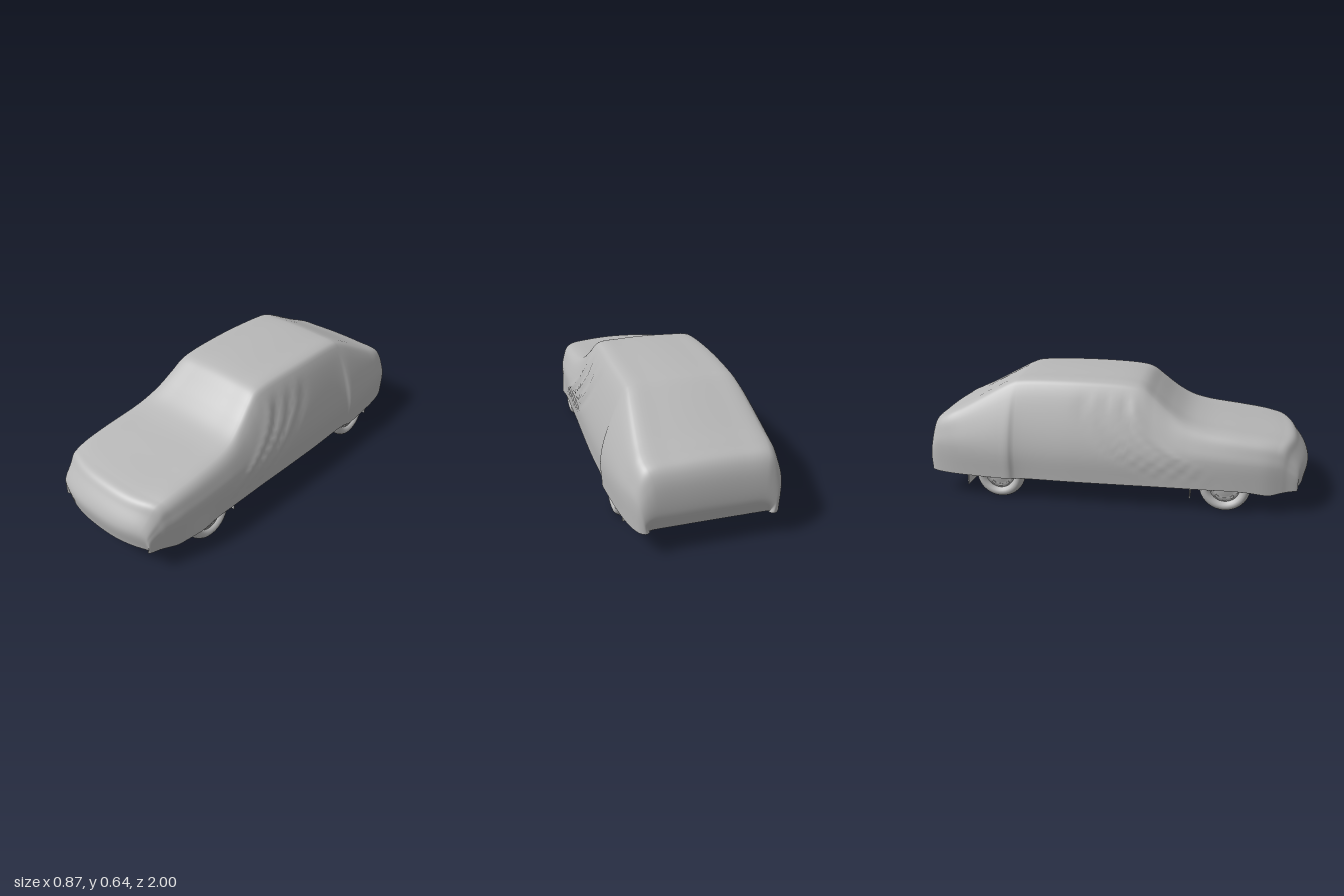
import * as THREE from 'three';

const grey = new THREE.MeshStandardMaterial({ color: 0xb8b8b8, side: THREE.DoubleSide });
grey.name = 'plain grey';

const HEM = 0.122;
// Cover stations, rear to front: z, top height, shoulder half-width, flank half-width
const STATIONS = [
  [-0.968, 0.13, 0.27, 0.28], [-0.984, 0.22, 0.272, 0.3], [-0.97, 0.36, 0.285, 0.325],
  [-0.94, 0.414, 0.303, 0.342], [-0.88, 0.445, 0.316, 0.36], [-0.8, 0.482, 0.312, 0.374],
  [-0.59, 0.594, 0.288, 0.395], [-0.535, 0.62, 0.28, 0.397], [-0.5, 0.63, 0.278, 0.386],
  [-0.2, 0.64, 0.282, 0.388], [0.09, 0.628, 0.276, 0.386], [0.15, 0.612, 0.277, 0.385],
  [0.21, 0.565, 0.288, 0.384], [0.29, 0.5, 0.308, 0.384], [0.37, 0.452, 0.328, 0.384],
  [0.46, 0.425, 0.338, 0.384], [0.65, 0.399, 0.342, 0.378], [0.86, 0.371, 0.332, 0.356],
  [0.92, 0.356, 0.325, 0.344], [0.95, 0.32, 0.318, 0.334], [1.0, 0.235, 0.305, 0.316],
  [0.985, 0.13, 0.29, 0.3],
];

// Cross-section from left hem over the top to right hem
function section([z, T, wT, wM]) {
  const h = T - HEM;
  const shoulder = T - Math.min(0.038, h * 0.2);
  const mid = HEM + Math.min(0.15, h * 0.5);
  const half = [
    [wM - 0.004, HEM],
    [wM, mid],
    [wT + (wM - wT) * 0.64, (mid + shoulder) / 2],
    [wT, shoulder],
    [wT * 0.9, T - Math.min(0.013, h * 0.07)],
    [wT * 0.5, T - Math.min(0.004, h * 0.03)],
  ];
  const right = half.map(([x, y]) => [-x, y]).reverse();
  return [...half, [0, T], ...right].map(([x, y]) => new THREE.Vector3(x, y, z));
}

const ss = THREE.MathUtils.smoothstep;
const bell = (v, centre, width) => Math.exp(-(((v - centre) / width) ** 2));
const noseBow = (x) => 0.075 * (Math.abs(x) / 0.33) ** 2.5;

// Soft curved folds in the cloth, a sagging front hem and a bowed nose
function drape(p) {
  const s = p.z - 0.1 - 2.9 * Math.max(0, 0.55 - p.y) ** 2;
  let fold = 0;
  for (const c of [0, -0.1, -0.2]) fold += bell(s, c, 0.032) - 0.7 * bell(s, c - 0.05, 0.035);
  const mask = ss(Math.abs(p.x), 0.27, 0.33) * ss(p.y, 0.14, 0.3) * (1 - ss(p.y, 0.48, 0.6));
  const low = 1 - ss(p.y, 0.12, 0.22);
  p.x += Math.sign(p.x) * 0.007 * fold * mask;
  if (p.x > 0.25) p.x += 0.014 * low * bell(p.z, 0.66, 0.08);
  p.y -= 0.02 * low * bell(p.z, 0.82, 0.12);
  p.z -= noseBow(p.x) * ss(p.z, 0.72, 0.98);
  return p;
}

function coverGeometry() {
  const rows = (STATIONS.length - 1) * 10;
  const cols = 60;
  const sections = STATIONS.map(section);
  const rails = sections[0].map((_, j) => new THREE.CatmullRomCurve3(sections.map((s) => s[j]), false, 'centripetal'));
  const pos = [];
  const index = [];
  for (let i = 0; i <= rows; i++) {
    const across = new THREE.CatmullRomCurve3(rails.map((r) => r.getPoint(i / rows)), false, 'centripetal');
    for (let j = 0; j <= cols; j++) pos.push(...drape(across.getPoint(j / cols)).toArray());
  }
  for (let i = 0; i < rows; i++) {
    for (let j = 0; j < cols; j++) {
      const a = i * (cols + 1) + j;
      const b = a + cols + 1;
      index.push(a, a + 1, b, a + 1, b + 1, b);
    }
  }
  const g = new THREE.BufferGeometry();
  g.setAttribute('position', new THREE.Float32BufferAttribute(pos, 3));
  g.setIndex(index);
  g.computeVertexNormals();
  return g;
}

// Lower lip: a small side profile swept across and bowed like the nose
function lipGeometry() {
  const profile = new THREE.Shape();
  profile.moveTo(0.98, 0.135);
  profile.quadraticCurveTo(0.93, 0.105, 0.84, 0.086);
  profile.lineTo(0.76, 0.112);
  profile.lineTo(0.82, 0.112);
  profile.lineTo(0.95, 0.14);
  const g = new THREE.ExtrudeGeometry(profile, { depth: 0.62, steps: 16, bevelEnabled: false, curveSegments: 6 });
  g.translate(0, 0, -0.31).rotateY(-Math.PI / 2);
  const p = g.attributes.position;
  for (let i = 0; i < p.count; i++) {
    const q = (p.getX(i) / 0.31) ** 2;
    p.setY(i, p.getY(i) + 0.25 * q * (0.135 - p.getY(i)));
    p.setZ(i, p.getZ(i) - noseBow(p.getX(i)));
  }
  g.computeVertexNormals();
  return g;
}

export function createModel() {
  const model = new THREE.Group();
  model.name = 'coveredCar';
  const car = new THREE.Group();
  car.name = 'car';
  car.rotation.y = 0.067;
  model.add(car);

  const add = (name, geo, x = 0, y = 0, z = 0, parent = car) => {
    const m = new THREE.Mesh(geo, grey);
    m.name = name;
    m.position.set(x, y, z);
    parent.add(m);
    return m;
  };
  const box = (name, w, h, d, x, y, z) => add(name, new THREE.BoxGeometry(w, h, d), x, y, z);
  const pipe = (name, pts, r) => {
    const curve = new THREE.CatmullRomCurve3(pts.map((p) => new THREE.Vector3(...p)), false, 'centripetal');
    return add(name, new THREE.TubeGeometry(curve, 24, r, 10));
  };

  add('cover', coverGeometry());
  add('noseLip', lipGeometry());

  // Wheels: rounded tyre, dished rim and slots round it
  const tyreGeo = new THREE.TorusGeometry(0.102, 0.028, 16, 40).rotateY(Math.PI / 2).scale(1.42, 1, 1);
  const rimProfile = [[0.08, -0.03], [0.076, 0.024], [0.06, 0.016], [0.046, 0.026], [0.001, 0.03]];
  const rimGeo = new THREE.LatheGeometry(rimProfile.map(([x, y]) => new THREE.Vector2(x, y)), 40).rotateZ(-Math.PI / 2);
  const slotGeo = new THREE.BoxGeometry(0.006, 0.01, 0.018);
  for (const side of [1, -1]) {
    for (const [end, z] of [['front', 0.577], ['rear', -0.593]]) {
      const wheel = new THREE.Group();
      wheel.name = end + 'Wheel';
      wheel.position.set(side * 0.324, 0.13, z);
      if (side < 0) wheel.rotation.y = Math.PI;
      car.add(wheel);
      add('tyre', tyreGeo, 0, 0, 0, wheel);
      add('rim', rimGeo, 0, 0, 0, wheel);
      for (let k = 0; k < 10; k++) {
        const a = (k / 10) * Math.PI * 2;
        add('rimSlot', slotGeo, 0.019, Math.cos(a) * 0.064, Math.sin(a) * 0.064, wheel).rotation.x = a;
      }
      box(end + 'MudFlap', 0.115, 0.09, 0.006, side * 0.294, 0.105, z - 0.175);
    }

    // Sills, end rails and pressed floor panels
    box('sill', 0.035, 0.03, 0.8, side * 0.35, 0.14, -0.01);
    box('frontRail', 0.035, 0.035, 0.46, side * 0.19, 0.142, 0.58);
    box('rearRail', 0.035, 0.035, 0.5, side * 0.19, 0.142, -0.64);
    box('floorPressing', 0.15, 0.012, 0.32, side * 0.2, 0.142, 0.18);
    box('floorPressing', 0.15, 0.012, 0.28, side * 0.2, 0.142, -0.2);

    // Suspension arms
    pipe('frontArm', [[side * 0.29, 0.125, 0.577], [side * 0.1, 0.125, 0.62]], 0.012);
    pipe('frontStrut', [[side * 0.28, 0.12, 0.57], [side * 0.2, 0.125, 0.4]], 0.009);
    pipe('rearArm', [[side * 0.28, 0.125, -0.59], [side * 0.1, 0.115, -0.3]], 0.012);
    add('rearSpring', new THREE.CylinderGeometry(0.03, 0.03, 0.09, 16), side * 0.235, 0.16, -0.57);
  }

  // Floor
  box('floor', 0.72, 0.01, 0.82, 0, 0.152, -0.01);
  box('frontFloor', 0.5, 0.01, 0.46, 0, 0.156, 0.62);
  box('rearFloor', 0.5, 0.01, 0.54, 0, 0.156, -0.68);
  box('rearPanel', 0.52, 0.02, 0.05, 0, 0.14, -0.93);
  box('centreTunnel', 0.09, 0.02, 0.8, 0, 0.145, 0);
  for (const z of [0.4, -0.39]) box('crossMember', 0.5, 0.024, 0.04, 0, 0.138, z);

  // Driveline
  box('enginePan', 0.16, 0.05, 0.2, 0.01, 0.13, 0.66);
  box('gearbox', 0.09, 0.045, 0.2, 0, 0.13, 0.42);
  pipe('driveShaft', [[0, 0.128, 0.34], [0, 0.122, -0.56]], 0.011);
  add('differential', new THREE.SphereGeometry(0.035, 20, 14), 0, 0.128, -0.593);
  pipe('frontAxle', [[-0.3, 0.13, 0.577], [0.3, 0.13, 0.577]], 0.012);
  pipe('rearAxle', [[-0.3, 0.13, -0.593], [0.3, 0.13, -0.593]], 0.018);

  // Exhaust with two silencers
  pipe('exhaustPipe', [
    [-0.06, 0.13, 0.55], [-0.08, 0.116, 0.3], [-0.1, 0.116, -0.4], [-0.13, 0.145, -0.6], [-0.14, 0.13, -0.92],
  ], 0.011);
  const silencerGeo = new THREE.CylinderGeometry(0.026, 0.026, 0.2, 20).rotateX(Math.PI / 2);
  add('frontSilencer', silencerGeo, -0.08, 0.122, 0.15);
  add('rearSilencer', silencerGeo, -0.14, 0.132, -0.8);
  return model;
}
